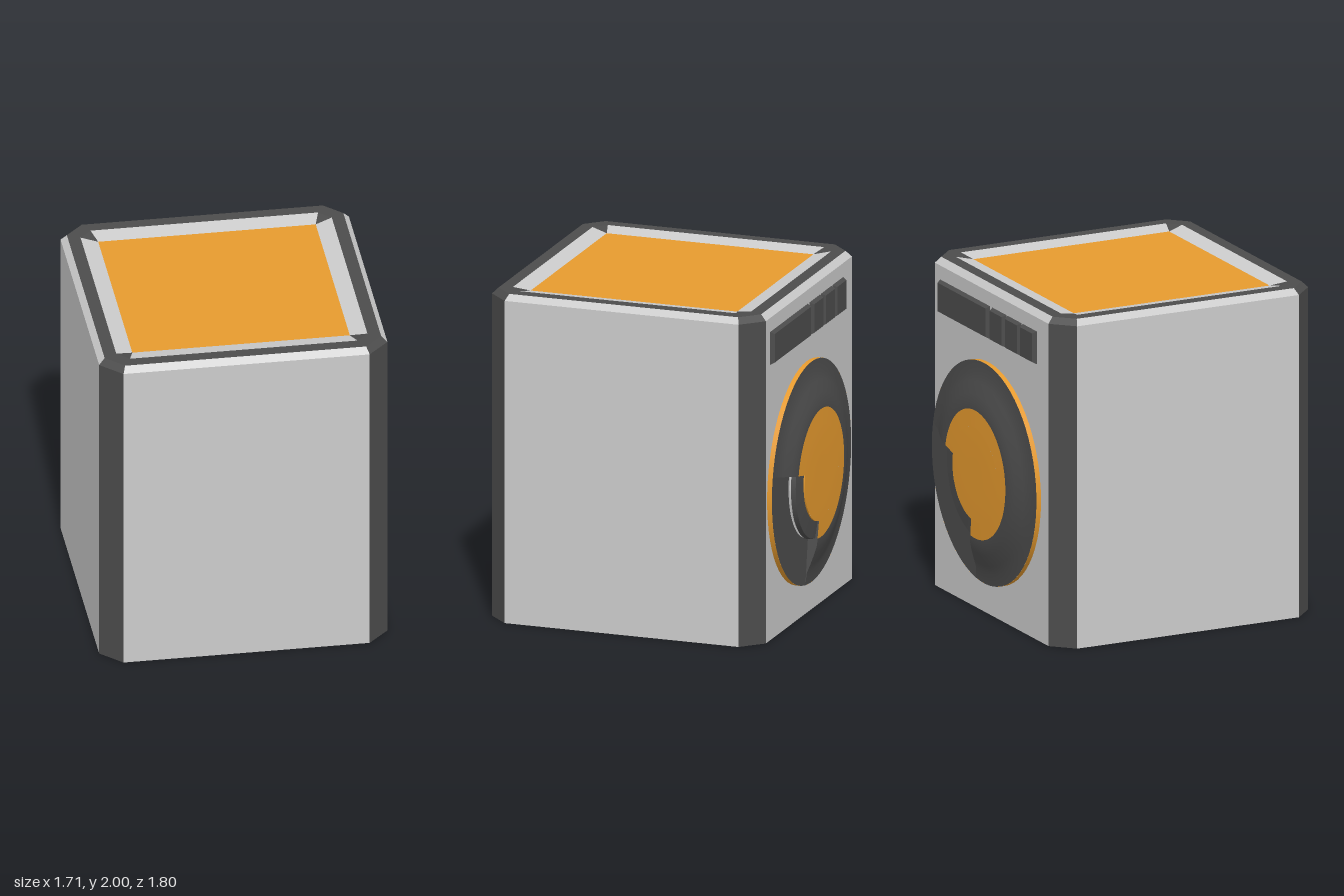
import * as THREE from 'three';

const mat = (color) => new THREE.MeshStandardMaterial({ color, side: THREE.DoubleSide });
const grey = mat(0xcccccc), dark = mat(0x4c4c4c), amber = mat(0xe69a2e);
const CZ = 0.045; // cabinet centre in z
const rad = THREE.MathUtils.degToRad;

function add(parent, name, geometry, material) {
  const mesh = new THREE.Mesh(geometry, material);
  mesh.name = name;
  parent.add(mesh);
  return mesh;
}

// Square ring with cut corners: half width h, corner cut c, height y
function ring(h, c, y) {
  const s = h - c;
  return [[-s, h], [s, h], [h, s], [h, -s], [s, -h], [-s, -h], [-h, -s], [-h, s]]
    .map(([x, z]) => new THREE.Vector3(x, y, z + CZ));
}

// Flat-shaded faces between two rings; parity 0 = sides, 1 = corners, -1 = all
function band(low, high, parity = -1) {
  const pts = [];
  const tri = (a, b, c) => {
    if (!a.equals(b) && !b.equals(c) && !a.equals(c)) pts.push(a, b, c);
  };
  for (let i = 0; i < 8; i++) {
    if (parity >= 0 && i % 2 !== parity) continue;
    const j = (i + 1) % 8;
    tri(low[i], low[j], high[j]);
    tri(low[i], high[j], high[i]);
  }
  const g = new THREE.BufferGeometry().setFromPoints(pts);
  g.computeVertexNormals();
  return g;
}

function buildCabinet() {
  const g = new THREE.Group();
  g.name = 'cabinet';
  const base = ring(0.855, 0.125, 0), shoulder = ring(0.855, 0.125, 1.965);
  const rimOut = ring(0.82, 0.105, 2), rimIn = ring(0.745, 0.07, 2);
  const tray = ring(0.645, 0, 1.98);
  // grey sides with dark corners, from wall to bevel to recessed tray
  for (const [name, a, b] of [['wall', base, shoulder], ['topBevel', shoulder, rimOut], ['traySlope', rimIn, tray]]) {
    add(g, name + 'Sides', band(a, b, 0), grey);
    add(g, name + 'Corners', band(a, b, 1), dark);
  }
  add(g, 'topRim', band(rimOut, rimIn), dark);
  add(g, 'topPanel', band(tray, ring(0, 0, 1.98)), amber);
  add(g, 'underside', band(ring(0, 0, 0), base), grey);
  return g;
}

// Raised panel with tapered edges on the machine's working face
function controlPanel(x0, x1) {
  const w = x1 - x0, h = 0.2, d = 0.025;
  const g = new THREE.BoxGeometry(w, h, d);
  const p = g.attributes.position;
  for (let i = 0; i < p.count; i++) {
    if (p.getZ(i) > 0) continue;
    p.setX(i, p.getX(i) - Math.sign(p.getX(i)) * 0.013);
    p.setY(i, p.getY(i) - Math.sign(p.getY(i)) * 0.013);
  }
  g.computeVertexNormals();
  g.translate((x0 + x1) / 2, 1.78, -0.81 - d / 2);
  return g;
}

function buildDoor() {
  const door = new THREE.Group();
  door.name = 'door';
  // local y points out of the door
  door.position.set(0.0375, 0.8625, -0.81);
  door.rotation.x = -Math.PI / 2;

  // gap for the handle, from start to start + span
  const start = rad(78), span = rad(93), end = start + span;
  const rest = Math.PI * 2 - span;
  const lathe = (name, profile, material, from = 0, len = Math.PI * 2) => add(door, name,
    new THREE.LatheGeometry(profile.map(([r, y]) => new THREE.Vector2(r, y)),
      Math.max(12, Math.round(64 * len / (Math.PI * 2))), from, len), material);

  const dome = [[0.672, 0.03], [0.6, 0.035], [0.55, 0.053], [0.48, 0.076], [0.43, 0.089], [0.39, 0.09]];
  lathe('doorEdge', [[0.672, 0], [0.672, 0.03]], amber);
  lathe('doorRing', dome, dark, end, rest);

  // window bulges gently and fills up to the ring
  lathe('window', [[0.285, 0.093], [0.2, 0.095], [0.1, 0.095], [0, 0.095]], amber);
  lathe('windowBorder', [[0.39, 0.09], [0.285, 0.093]], amber, end, rest);

  // handle recess with a raised grip along the window
  lathe('recessFloor', [[0.672, 0.03], [0.39, 0.03]], dark, start, span);
  lathe('recessWall', [[0.37, 0.03], [0.37, 0.047]], grey, start, span);
  lathe('gripUnderside', [[0.37, 0.047], [0.395, 0.047]], dark, start, span);
  lathe('gripSide', [[0.395, 0.047], [0.39, 0.075]], dark, start, span);
  lathe('gripFace', [[0.39, 0.075], [0.285, 0.085]], dark, start, span);
  lathe('windowEdge', [[0.285, 0.08], [0.285, 0.093]], amber, start, span);

  // end walls of the recess
  const section = new THREE.Shape([[0.285, 0.03], ...dome, [0.285, 0.093]]
    .map(([r, y]) => new THREE.Vector2(r, y)));
  for (const phi of [start, end]) {
    add(door, 'recessEnd', new THREE.ShapeGeometry(section), dark).rotation.y = phi - Math.PI / 2;
  }
  return door;
}

export function createModel() {
  const model = new THREE.Group();
  model.name = 'washingMachine';
  model.add(buildCabinet(), buildDoor());
  // display and three buttons
  add(model, 'display', controlPanel(0.02, 0.66), dark);
  for (let i = 0; i < 3; i++) {
    const x = -0.01 - i * 0.195;
    add(model, 'button', controlPanel(x - 0.18, x), dark);
  }
  return model;
}
